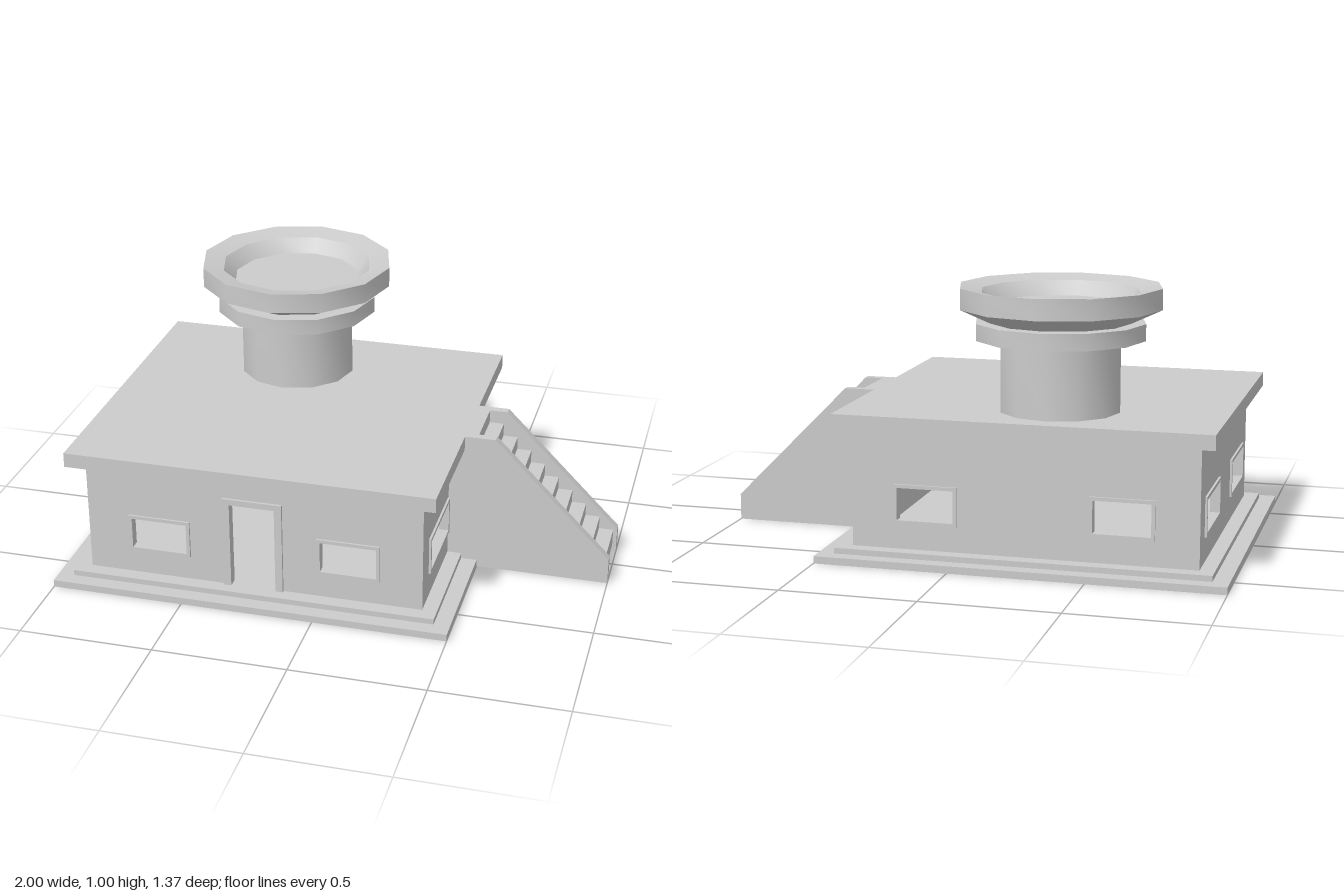
import * as THREE from 'three';
import { toCreasedNormals } from 'three/addons/utils/BufferGeometryUtils.js';

const material = new THREE.MeshStandardMaterial({ color: 0xcccccc, side: THREE.DoubleSide });
const CX = -0.25, CZ = 0.015; // centre of the house
const FLOOR = 0.048, EAVES = 0.49, ROOF = 0.545, WALL = 0.03;

function add(parent, name, geometry, x = 0, y = 0, z = 0) {
  const mesh = new THREE.Mesh(geometry, material);
  mesh.name = name;
  mesh.position.set(x, y, z);
  parent.add(mesh);
  return mesh;
}

function rect(Type, x0, y0, x1, y1) {
  return new Type([[x0, y0], [x1, y0], [x1, y1], [x0, y1]].map(p => new THREE.Vector2(...p)));
}

function extrude(shape, depth) {
  return new THREE.ExtrudeGeometry(shape, { depth, bevelEnabled: false });
}

function polygon(points) {
  return new THREE.Shape(points.map(p => new THREE.Vector2(...p)));
}

// Wall with openings; its outer face lies at local z = 0
function wall(name, width, windowX, windowWidth, hasDoor) {
  const group = new THREE.Group();
  group.name = name;
  const y0 = 0.155, y1 = 0.275, h = windowWidth / 2, b = 0.013;
  const w = width / 2;
  // a doorway cuts through the bottom edge of the wall
  const shape = hasDoor
    ? polygon([[-w, FLOOR], [-0.085, FLOOR], [-0.085, 0.385], [0.085, 0.385],
      [0.085, FLOOR], [w, FLOOR], [w, EAVES], [-w, EAVES]])
    : rect(THREE.Shape, -w, FLOOR, w, EAVES);
  for (const x of [-windowX, windowX]) {
    shape.holes.push(rect(THREE.Path, x - h, y0, x + h, y1));
    const frame = rect(THREE.Shape, x - h - b, y0 - b, x + h + b, y1 + b);
    frame.holes.push(rect(THREE.Path, x - h, y0, x + h, y1));
    add(group, 'windowFrame', extrude(frame, 0.018), 0, 0, -0.01);
  }
  add(group, 'wallPanel', extrude(shape, WALL), 0, 0, -WALL);
  if (hasDoor) {
    const frame = polygon([[-0.113, FLOOR], [-0.085, FLOOR], [-0.085, 0.385], [0.085, 0.385],
      [0.085, FLOOR], [0.113, FLOOR], [0.113, 0.408], [-0.113, 0.408]]);
    add(group, 'doorFrame', extrude(frame, 0.02), 0, 0, -0.01);
  }
  return group;
}

// Flat rectangular ring lying between two heights
function kerb(root, name, halfX, halfZ, inset, bottom, top) {
  const shape = rect(THREE.Shape, -halfX, -halfZ, halfX, halfZ);
  shape.holes.push(rect(THREE.Path, inset - halfX, inset - halfZ, halfX - inset, halfZ - inset));
  add(root, name, extrude(shape, top - bottom), CX, top, CZ).rotation.x = Math.PI / 2;
}

function buildHouse(root) {
  // Two stepped kerbs around a thin floor
  kerb(root, 'baseKerb', 0.75, 0.67, 0.06, 0, 0.027);
  kerb(root, 'upperKerb', 0.69, 0.615, 0.055, 0.025, FLOOR);
  add(root, 'floor', new THREE.BoxGeometry(1.27, 0.015, 1.12), CX, FLOOR - 0.0075, CZ);

  // Four walls
  const halfX = 0.636, halfZ = 0.5615;
  for (const side of [1, -1]) {
    const long = wall(side > 0 ? 'frontWall' : 'backWall', halfX * 2, 0.36, 0.21, side > 0);
    long.position.set(CX, 0, CZ + side * halfZ);
    long.rotation.y = side > 0 ? 0 : Math.PI;
    const short = wall(side > 0 ? 'leftWall' : 'rightWall', (halfZ - WALL) * 2, 0.302, 0.297, false);
    short.position.set(CX + side * halfX, 0, CZ);
    short.rotation.y = side * Math.PI / 2;
    root.add(long, short);
  }
  add(root, 'roof', new THREE.BoxGeometry(1.385, ROOF - EAVES, 1.25), CX, (ROOF + EAVES) / 2, CZ);
}

function buildTower(root) {
  const tower = new THREE.Group();
  tower.name = 'tower';
  tower.position.set(-0.33, 0, -0.315);
  root.add(tower);
  const turned = (name, points) => {
    const lathe = new THREE.LatheGeometry(points.map(p => new THREE.Vector2(...p)), 12);
    add(tower, name, toCreasedNormals(lathe, 0.53));
  };
  turned('column', [[0.222, ROOF], [0.222, 0.82]]);
  turned('collar', [[0, 0.808], [0.312, 0.808], [0.312, 0.869], [0, 0.869]]);
  // Flared bowl with a sloping rim and a sunken floor
  turned('bowl', [[0.245, 0.862], [0.37, 0.921], [0.37, 0.997], [0.29, 0.98], [0.245, 0.928], [0, 0.928]]);
}

function buildStairs(root) {
  const stairs = new THREE.Group();
  stairs.name = 'stairs';
  root.add(stairs);
  // Side walls with a sloping top
  const side = polygon([[0.385, 0], [1, 0], [1, 0.1], [0.558, ROOF], [0.44, ROOF],
    [0.44, EAVES], [0.385, EAVES]]);
  for (const z of [0.113, -0.128]) add(stairs, 'stairSide', extrude(side, 0.031), 0, 0, z);

  // Landing and flight of steps with a sloping underside
  const steps = 9, run = 0.055, rise = 0.05;
  const points = [[0.44, 0.45], [0.44, ROOF], [0.49, ROOF]];
  for (let i = 0; i < steps; i++) {
    const y = 0.495 - i * rise;
    points.push([0.49 + i * run, y], [0.49 + (i + 1) * run, y]);
  }
  points.push([0.985, 0.03], [0.965, 0.03], [0.49, 0.45]);
  add(stairs, 'steps', extrude(polygon(points), 0.212), 0, 0, -0.098);
}

export function createModel() {
  const root = new THREE.Group();
  root.name = 'watchHouse';
  buildHouse(root);
  buildTower(root);
  buildStairs(root);
  return root;
}
